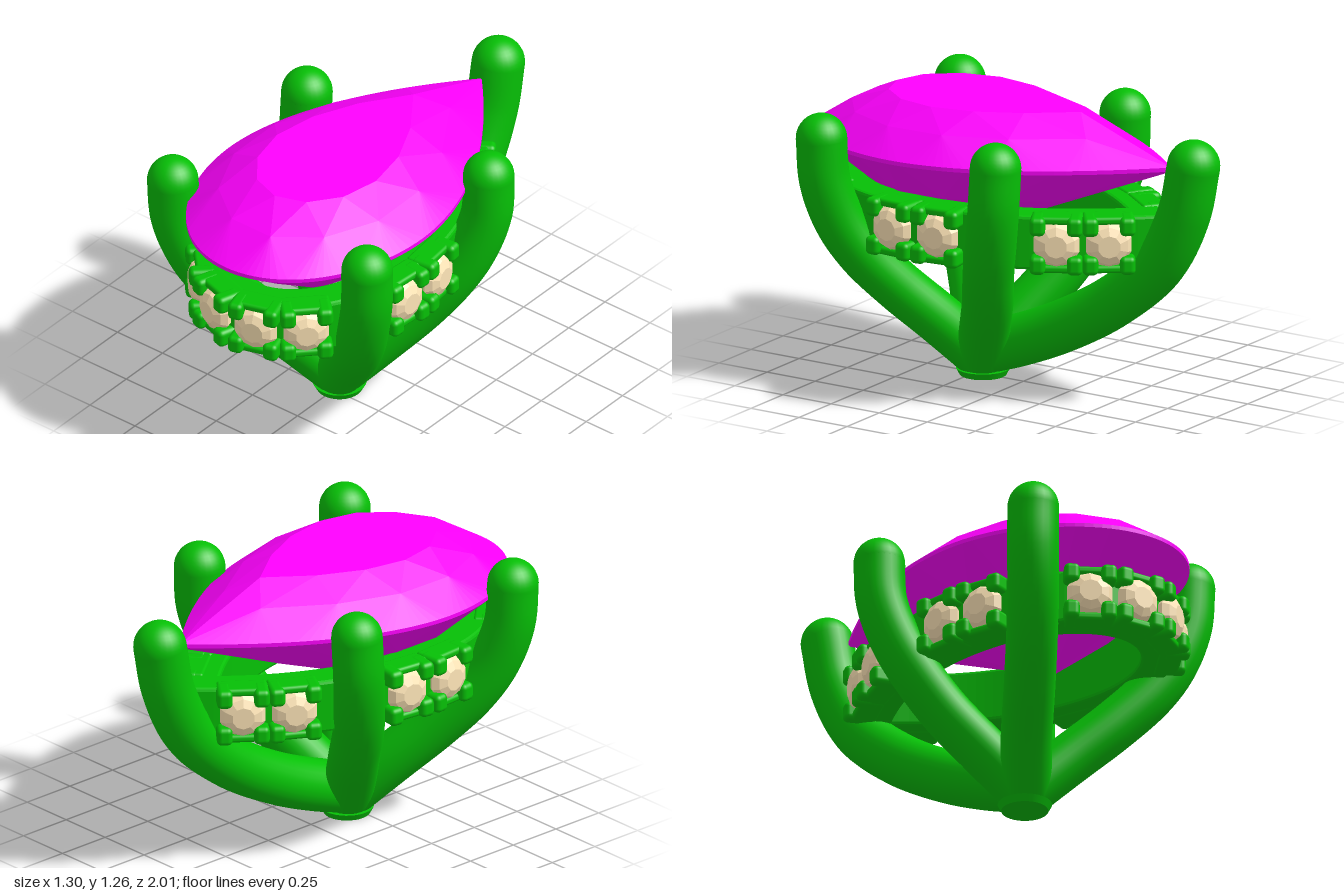
import * as THREE from 'three';
import { RoundedBoxGeometry } from 'three/addons/geometries/RoundedBoxGeometry.js';
import { ConvexGeometry } from 'three/addons/geometries/ConvexGeometry.js';

const V = (x, y, z) => new THREE.Vector3(x, y, z);
const metal = new THREE.MeshStandardMaterial({ color: 0x06c006 });
const gemMat = new THREE.MeshStandardMaterial({ color: 0xff00ff, flatShading: true });
const stoneMat = new THREE.MeshStandardMaterial({ color: 0xffe6b8, flatShading: true });

// Pear outline on the +x side: u = 0 is the round front, 1 the widest point, 2 the rear tip.
// d = 0 is the gem; a larger d gives the band's inset, fuller-backed outline.
function pear(u, d = 0) {
  const a = 0.54 - d, b = 0.7 - d;
  const [c, p] = d ? [1.15 - 1.5 * d, 2.15] : [1.07, 1.85];
  if (u <= 1) {
    const t = u * Math.PI / 2;
    return [a * Math.sin(t), 0.3 + b * Math.cos(t)];
  }
  const s = u - 1;
  return [a * (1 - Math.pow(s, p)), 0.3 - c * s];
}

// n points all the way round the pear; shift turns the ring by part of a step
function pearRing(n, shift = 0, d = 0) {
  const pts = [];
  for (let i = 0; i < n; i++) {
    let u = ((i + shift) / n) * 4;
    const side = u > 2 ? -1 : 1;
    if (u > 2) u = 4 - u;
    const [x, z] = pear(u, d);
    pts.push([side * x, z]);
  }
  return pts;
}

function add(group, name, geometry, material) {
  const mesh = new THREE.Mesh(geometry, material);
  mesh.name = name;
  group.add(mesh);
  return mesh;
}

// Faceted pear gem: culet, then table, crown, girdle and pavilion rings
function makeGem() {
  const pts = [V(0, 0.6, 0.36)];
  // front and rear halves of a ring shrink by their own scales
  const ring = (n, shift, front, rear, y, tilt) => {
    for (const [x, z] of pearRing(n, shift)) {
      const pz = 0.3 + (z - 0.3) * (z > 0.3 ? front : rear);
      pts.push(V(x * front, y - tilt * pz, pz));
    }
  };
  ring(12, 0, 0.51, 0.56, 1.26, 0.012);
  ring(12, 0.5, 0.77, 0.79, 1.183, 0.012);
  ring(96, 0, 1, 1, 1.078, 0.015);
  ring(96, 0, 1, 1, 1.06, 0.015);
  ring(12, 0.5, 0.67, 0.64, 0.88, 0);
  return new ConvexGeometry(pts);
}

// Round-ended prong
function addProng(group, name, path, r = 0.112) {
  const prong = new THREE.Group();
  prong.name = name;
  const curve = new THREE.CatmullRomCurve3(path.map(p => V(...p)));
  add(prong, name + 'Shaft', new THREE.TubeGeometry(curve, 48, r, 28), metal);
  const tip = add(prong, name + 'Tip', new THREE.SphereGeometry(r, 28, 20), metal);
  tip.position.set(...path[path.length - 1]);
  group.add(prong);
}

// Closed gallery band under the gem
function makeBand() {
  const toVec = ([x, z]) => new THREE.Vector2(x, -z);
  const shape = new THREE.Shape(pearRing(96, 0, 0.08).map(toVec));
  shape.holes.push(new THREE.Path(pearRing(96, 0, 0.2).map(toVec)));
  const geo = new THREE.ExtrudeGeometry(shape, {
    depth: 0.215, bevelThickness: 0.014, bevelSize: 0.014, bevelSegments: 2
  });
  geo.rotateX(-Math.PI / 2);
  geo.translate(0, 0.643, 0);
  return geo;
}

export function createModel() {
  const model = new THREE.Group();
  model.name = 'pearSetting';

  add(model, 'pearGem', makeGem(), gemMat);
  add(model, 'galleryBand', makeBand(), metal);

  // Five prongs meeting at a flat foot
  const start = [0, 0.085, 0.215];
  for (const [side, word] of [[1, 'left'], [-1, 'right']]) {
    addProng(model, word + 'FrontProng', [start, [side * 0.15, 0.265, 0.34], [side * 0.29, 0.435, 0.47],
      [side * 0.405, 0.595, 0.575], [side * 0.478, 0.745, 0.64], [side * 0.53, 0.93, 0.68],
      [side * 0.54, 1.115, 0.69]]);
    addProng(model, word + 'MiddleProng', [start, [side * 0.15, 0.265, 0.1], [side * 0.285, 0.435, -0.005],
      [side * 0.39, 0.595, -0.078], [side * 0.458, 0.745, -0.135], [side * 0.504, 0.93, -0.18],
      [side * 0.505, 1.115, -0.192]]);
  }
  addProng(model, 'backProng', [[0, 0.125, 0.19], [0, 0.18, 0.03], [0, 0.285, -0.21], [0, 0.445, -0.48],
    [0, 0.65, -0.71], [0, 0.89, -0.835], [0, 1.115, -0.885]], 0.116);

  // Foot disc, and a core filling the crotch of the prongs
  const foot = new THREE.CylinderGeometry(0.118, 0.102, 0.03, 32);
  add(model, 'foot', foot, metal).position.set(0, 0.015, 0.21);
  const core = new THREE.SphereGeometry(0.13, 32, 20);
  add(model, 'prongCore', core, metal).position.set(0, 0.15, 0.21);

  // Small round stones, each held by four claws, facing out of the band
  const stone = new THREE.LatheGeometry([[0, -0.06], [0.09, -0.03], [0.104, 0], [0.085, 0.028],
    [0.05, 0.046], [0, 0.046]].map(p => new THREE.Vector2(...p)), 10);
  stone.rotateX(Math.PI / 2);
  const claw = new RoundedBoxGeometry(0.068, 0.082, 0.12, 3, 0.022);
  const rail = new RoundedBoxGeometry(0.22, 0.035, 0.11, 2, 0.014);
  for (const u of [0.148, 0.42, 0.94, 1.16, 1.632, 1.808]) {
    const [x, z] = pear(u, 0.055);
    const [x0, z0] = pear(u - 0.02, 0.055), [x1, z1] = pear(u + 0.02, 0.055);
    for (const side of [1, -1]) {
      const seat = new THREE.Group();
      seat.name = 'stoneSeat';
      add(seat, 'smallStone', stone, stoneMat);
      for (const sy of [1, -1]) {
        add(seat, 'seatRail', rail, metal).position.set(0, sy * 0.109, -0.035);
        for (const sx of [1, -1])
          add(seat, 'claw', claw, metal).position.set(sx * 0.081, sy * 0.087, -0.008);
      }
      seat.position.set(side * x, 0.752, z);
      seat.rotation.y = side * Math.atan2(z0 - z1, x1 - x0);
      model.add(seat);
    }
  }
  return model;
}
